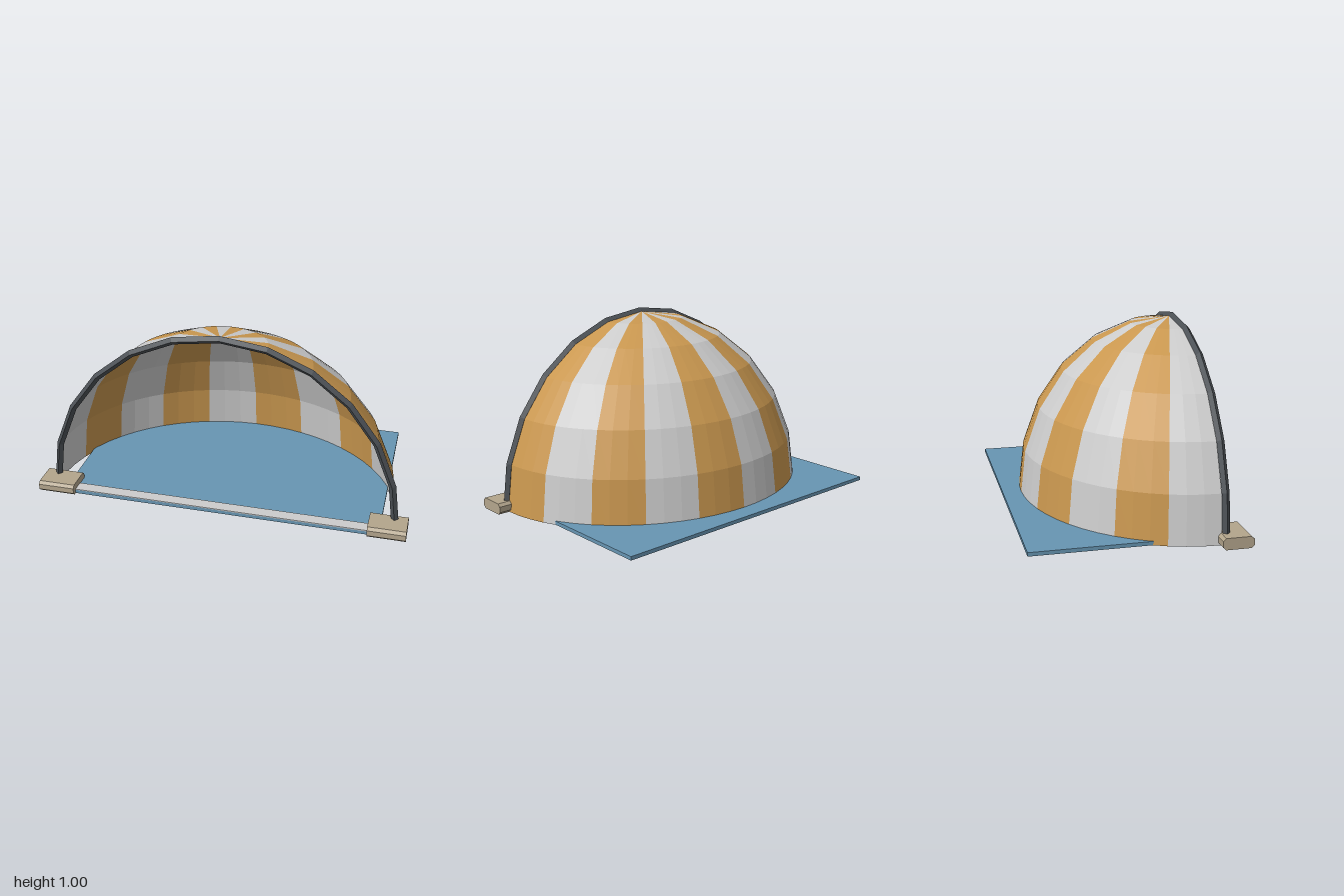
import * as THREE from 'three';

const paint = (color, side = THREE.FrontSide) =>
  new THREE.MeshStandardMaterial({ color, flatShading: true, side });

export function createModel() {
  const tent = new THREE.Group();
  tent.name = 'tent';
  const add = (name, geometry, material, x, y, z, parent = tent) => {
    const mesh = new THREE.Mesh(geometry, material);
    mesh.name = name;
    mesh.position.set(x, y, z);
    parent.add(mesh);
    return mesh;
  };

  // Striped half-dome canopy, one gore per panel
  const canopy = new THREE.Group();
  canopy.name = 'canopy';
  tent.add(canopy);
  const stripes = [paint(0xc9974f, THREE.DoubleSide), paint(0xcccccc, THREE.DoubleSide)];
  const panels = 10;
  const step = Math.PI / panels;
  for (let i = 0; i < panels; i++) {
    const gore = new THREE.SphereGeometry(1, 1, 6, Math.PI + i * step, step, 0, Math.PI / 2);
    gore.scale(0.935, 0.975, 0.84);
    add('canopyPanel' + (i + 1), gore, stripes[i % 2], 0, 0.005, 0.4, canopy);
  }

  // Front arch pole with a diamond section
  const arch = new THREE.TorusGeometry(0.975, 0.02, 4, 12, Math.PI);
  arch.scale(0.96, 1, 1);
  add('archPole', arch, paint(0x4b5055, THREE.DoubleSide), 0, 0.005, 0.42);

  // Ground mat and the pale strip along its front edge
  add('groundMat', new THREE.BoxGeometry(1.72, 0.02, 1.05), paint(0x6795b2), 0, 0.015, -0.015);
  add('frontStrip', new THREE.BoxGeometry(1.66, 0.006, 0.065), paint(0xcccccc), 0, 0.027, 0.4775);

  // Chamfered feet holding the pole ends
  const w = 0.08, h = 0.03, c = 0.015;
  const outline = new THREE.Shape([
    [w, c - h], [w, h - c], [w - c, h], [c - w, h],
    [-w, h - c], [-w, c - h], [c - w, -h], [w - c, -h],
  ].map(([a, b]) => new THREE.Vector2(a, b)));
  const foot = new THREE.ExtrudeGeometry(outline, { depth: 0.2, bevelEnabled: false });
  foot.translate(0, 0, -0.1);
  foot.rotateY(Math.PI / 2);
  const footMaterial = paint(0xb3a58c);
  for (const side of [1, -1]) {
    add(side > 0 ? 'leftFoot' : 'rightFoot', foot, footMaterial, side * 0.9, 0.035, 0.46);
  }

  return tent;
}
